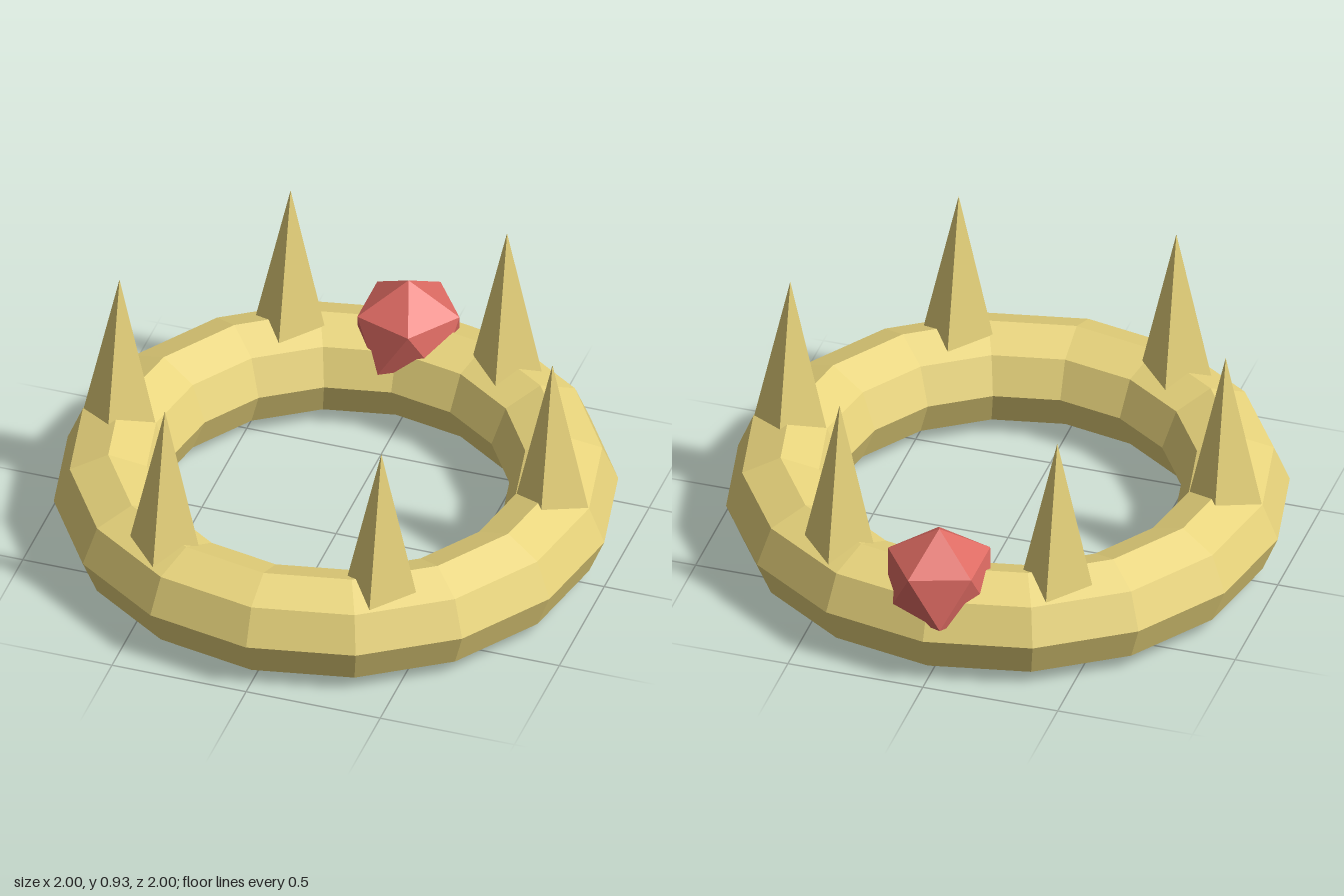
import * as THREE from 'three';

const RING = 0.807; // centre radius of the band
const TUBE = 0.193; // thickness radius of the band

export function createModel() {
  const group = new THREE.Group();
  const gold = new THREE.MeshStandardMaterial({ color: 0xe8d47c, flatShading: true });
  const red = new THREE.MeshStandardMaterial({ color: 0xdd6a62, flatShading: true });

  const add = (name, geometry, material, x, y, z) => {
    const mesh = new THREE.Mesh(geometry, material);
    mesh.name = name;
    mesh.position.set(x, y, z);
    group.add(mesh);
  };

  // Faceted band lying flat
  const band = new THREE.TorusGeometry(RING, TUBE, 8, 16).rotateX(-Math.PI / 2);
  add('band', band, gold, 0, TUBE, 0);

  // Six four-sided spikes sunk into the band, all facing the same way
  const height = 0.645;
  const spike = new THREE.ConeGeometry(0.145, height, 4);
  for (let i = 0; i < 6; i++) {
    const a = (i * Math.PI) / 3;
    add(`spike${i + 1}`, spike, gold, RING * Math.cos(a), 0.28 + height / 2, RING * Math.sin(a));
  }

  // Gem at the back, turned so that one corner points straight up
  const tilt = Math.atan(2 / (1 + Math.sqrt(5)));
  const gem = new THREE.IcosahedronGeometry(0.2125, 0).rotateZ(-tilt);
  add('gem', gem, red, 0, 0.3375, -RING);

  return group;
}
